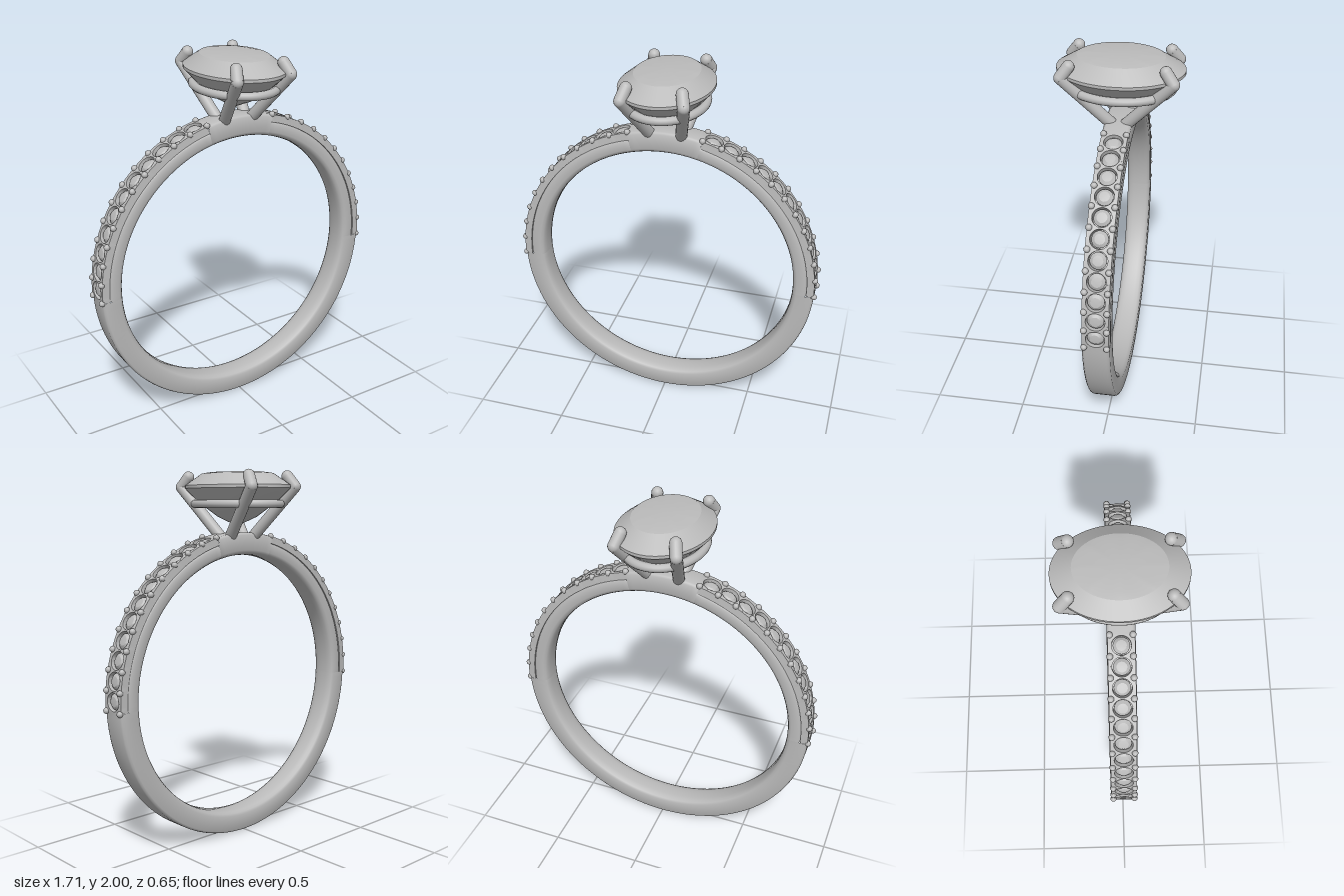
import * as THREE from 'three';
import { toCreasedNormals } from 'three/addons/utils/BufferGeometryUtils.js';

const CENTER_Y = 0.838, OUTER = 0.836, HALF_W = 0.07, SEAT_R = 0.796;
const deg = Math.PI / 180;
const STEP = 7.1 * deg, START = -2 * deg, STONES = 11;
const END = START + STEP * STONES;

const metal = new THREE.MeshStandardMaterial({ color: 0xbbbbbb });
metal.name = 'silver grey';

function add(parent, name, geometry) {
  const mesh = new THREE.Mesh(geometry, metal);
  mesh.name = name;
  parent.add(mesh);
  return mesh;
}

// Arc of the band with a rounded inside, between two elevations
function bandArc(outer, from, to) {
  const w = HALF_W;
  const half = [[outer, w - 0.016], [outer - 0.004, w - 0.006], [outer - 0.013, w],
    [0.742, w], [0.728, w - 0.006], [0.72, w - 0.02], [0.716, w - 0.042], [0.715, 0]];
  const upper = half.map(([r, z]) => new THREE.Vector2(r, z));
  const lower = half.slice(0, -1).reverse().map(([r, z]) => new THREE.Vector2(r, -z));
  const profile = [...upper, ...lower, upper[0].clone()];
  const segments = Math.ceil((to - from) / (2.2 * deg));
  const g = new THREE.LatheGeometry(profile, segments, from + Math.PI / 2, to - from);
  g.rotateX(Math.PI / 2);
  return toCreasedNormals(g, 0.7);
}

// Short plate with a round seat cut through it, bent to the curve of the band
function seatTile() {
  const a = STEP / 2 * OUTER, n = 6, pts = [];
  for (let i = 0; i <= n; i++) pts.push(new THREE.Vector2(-a + 2 * a * i / n, -HALF_W));
  for (let i = 0; i <= n; i++) pts.push(new THREE.Vector2(a - 2 * a * i / n, HALF_W));
  const shape = new THREE.Shape(pts);
  const hole = new THREE.Path();
  hole.absarc(0, 0, 0.048, 0, Math.PI * 2, true);
  shape.holes.push(hole);
  const g = new THREE.ExtrudeGeometry(shape, { depth: OUTER - SEAT_R, bevelEnabled: false, curveSegments: 20 });
  const p = g.attributes.position;
  for (let i = 0; i < p.count; i++) {
    const t = p.getX(i) / OUTER, r = SEAT_R + p.getZ(i);
    // The outer rim is drawn in slightly to soften the edge
    const taper = r > OUTER - 0.001 && Math.abs(p.getY(i)) > 0.069 ? 0.95 : 1;
    p.setXYZ(i, r * Math.sin(t), r * Math.cos(t), -p.getY(i) * taper);
  }
  g.computeVertexNormals();
  return toCreasedNormals(g, 0.5);
}

// Oval cut stone: a lathe squashed to an oval, with an eight-sided table
function ovalStone() {
  const profile = [[0, 1.708], [0.37, 1.757], [0.74, 1.835], [1, 1.908], [1, 1.924],
    [0.68, 1.986], [0.55, 1.993], [0, 1.996]].map(([r, y]) => new THREE.Vector2(r, y));
  const g = new THREE.LatheGeometry(profile, 64);
  const p = g.attributes.position;
  for (let i = 0; i < p.count; i++) {
    const x = p.getX(i), y = p.getY(i), z = p.getZ(i);
    const phi = Math.atan2(x, z) + Math.PI * 2;
    const facet = y > 1.99 ? Math.cos(Math.PI / 8) / Math.cos(phi % (Math.PI / 4) - Math.PI / 8) : 1;
    p.setXYZ(i, x * 0.243 * facet, y, z * 0.325 * facet);
  }
  return toCreasedNormals(g, 0.3);
}

function rod(parent, name, from, to, radius) {
  const dir = to.clone().sub(from);
  const mesh = add(parent, name, new THREE.CylinderGeometry(radius, radius, dir.length(), 20));
  mesh.position.copy(from).addScaledVector(dir, 0.5);
  mesh.quaternion.setFromUnitVectors(new THREE.Vector3(0, 1, 0), dir.normalize());
}

function ball(parent, name, position, radius) {
  add(parent, name, new THREE.SphereGeometry(radius, 16, 12)).position.copy(position);
}

export function createModel() {
  const model = new THREE.Group();
  model.name = 'ring';

  // Band: plain below and at the top, thinner under the rows of small stones
  const band = new THREE.Group();
  band.name = 'band';
  band.position.y = CENTER_Y;
  model.add(band);
  add(band, 'plainBand', bandArc(OUTER, Math.PI - START, Math.PI * 2 + START));
  add(band, 'topBand', bandArc(OUTER, END, Math.PI - END));
  add(band, 'rightSeatBase', bandArc(SEAT_R + 0.002, Math.PI - END, Math.PI - START));
  add(band, 'leftSeatBase', bandArc(SEAT_R + 0.002, START, END));

  // Small stones in their seats, with pairs of beads between them
  const tile = seatTile();
  const smallStone = toCreasedNormals(new THREE.LatheGeometry(
    [[0, -0.025], [0.042, 0], [0.042, 0.004], [0.026, 0.017], [0, 0.02]]
      .map(([r, y]) => new THREE.Vector2(r, y)), 20), 0.4);
  const bead = new THREE.SphereGeometry(0.0165, 12, 8);
  for (const side of [1, -1]) {
    const row = new THREE.Group();
    row.name = side > 0 ? 'leftStoneRow' : 'rightStoneRow';
    band.add(row);
    const place = (name, geometry, angle, radius, z) => {
      const mesh = add(row, name, geometry);
      mesh.position.set(side * radius * Math.cos(angle), radius * Math.sin(angle), z);
      mesh.rotation.z = side * (angle - Math.PI / 2);
    };
    for (let i = 0; i <= STONES; i++) {
      const angle = START + i * STEP;
      for (const z of [-0.057, 0.057]) place('bead', bead, angle, OUTER + 0.001, z);
      if (i === STONES) continue;
      place('stoneSeat', tile, angle + STEP / 2, 0, 0);
      place('smallStone', smallStone, angle + STEP / 2, 0.816, 0);
    }
  }

  // Centre stone
  add(model, 'centreStone', ovalStone());

  // Oval wire under the stone
  const loop = [];
  for (let i = 0; i < 32; i++) {
    const t = i / 32 * Math.PI * 2;
    loop.push(new THREE.Vector3(0.2 * Math.cos(t), 1.826, 0.263 * Math.sin(t)));
  }
  add(model, 'galleryWire', new THREE.TubeGeometry(new THREE.CatmullRomCurve3(loop, true), 72, 0.022, 12, true));

  // Four prongs, bent inward over the edge of the stone
  for (const sx of [1, -1]) for (const sz of [1, -1]) {
    const prong = new THREE.Group();
    prong.name = (sz > 0 ? 'front' : 'back') + (sx > 0 ? 'Left' : 'Right') + 'Prong';
    model.add(prong);
    const [foot, elbow, tip] = [[0.084, 1.65, 0.037], [0.158, 1.915, 0.278], [0.14, 1.969, 0.238]]
      .map(([x, y, z]) => new THREE.Vector3(sx * x, y, sz * z));
    rod(prong, 'shaft', foot, elbow, 0.031);
    ball(prong, 'elbow', elbow, 0.031);
    rod(prong, 'claw', elbow, tip, 0.031);
    ball(prong, 'tip', tip, 0.031);
  }
  return model;
}
